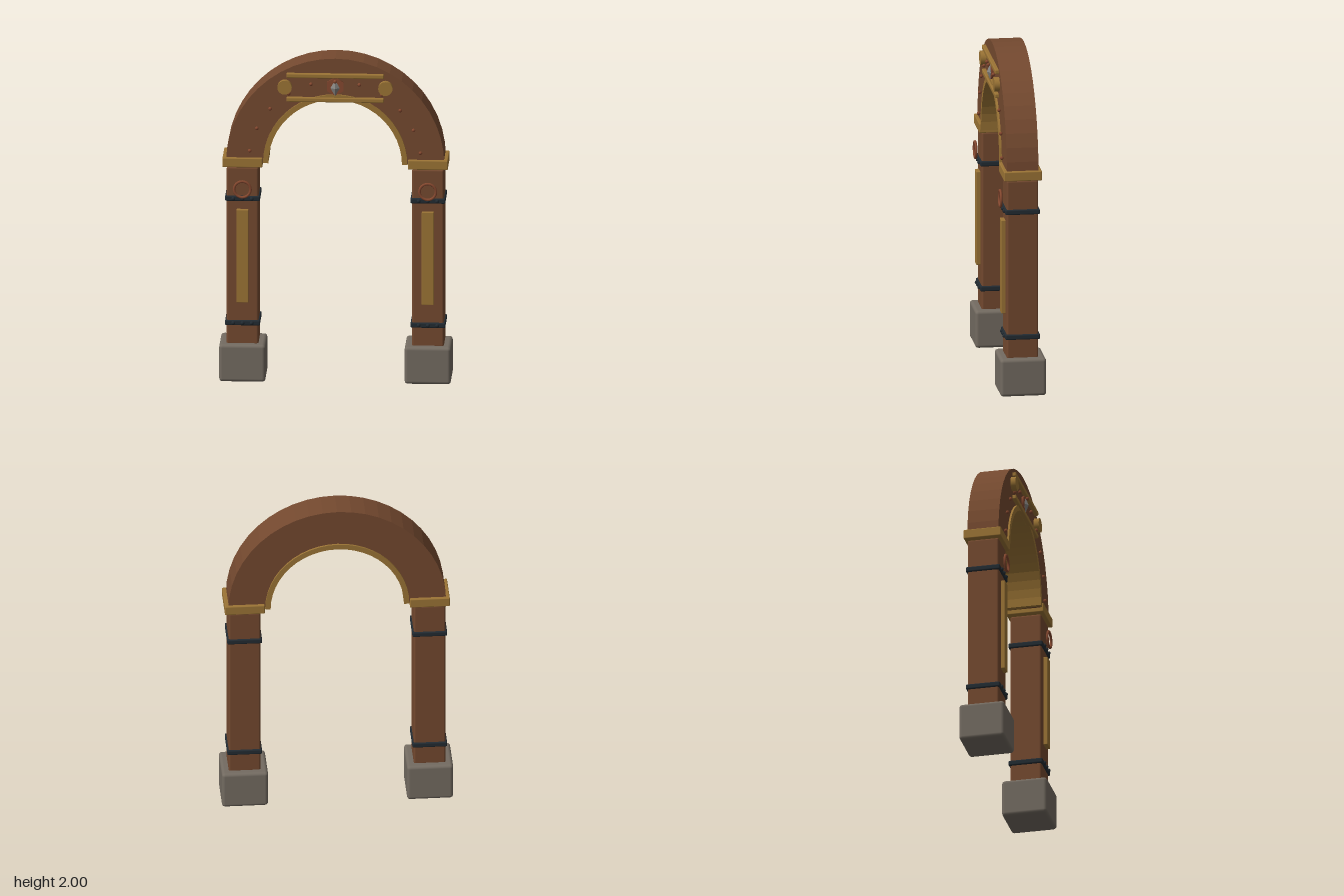
import * as THREE from 'three';
import { RoundedBoxGeometry } from 'three/addons/geometries/RoundedBoxGeometry.js';

const mat = (name, color) => {
  const m = new THREE.MeshStandardMaterial({ color });
  m.name = name;
  return m;
};

export function createModel() {
  const wood = mat('wood', 0x74492f);
  const brass = mat('brass', 0x9b7435);
  const stone = mat('stone', 0x736b61);
  const iron = mat('iron', 0x222b32);
  const copper = mat('copper', 0x85482f);
  const steel = mat('steel', 0x858380);

  const root = new THREE.Group();
  root.name = 'archway';

  const add = (parent, name, geometry, material, x, y, z) => {
    const mesh = new THREE.Mesh(geometry, material);
    mesh.name = name;
    mesh.position.set(x, y, z);
    parent.add(mesh);
    return mesh;
  };
  const box = (w, h, d, r) => new RoundedBoxGeometry(w, h, d, 2, r);
  // Cylinder whose axis points to the front
  const disc = (r, depth, sides) => new THREE.CylinderGeometry(r, r, depth, sides).rotateX(Math.PI / 2);

  // Half ring in the front plane, extruded in z
  const halfRing = (outer, inner, depth, steps) => {
    const points = [];
    for (let i = 0; i <= steps; i++) {
      const a = (Math.PI * i) / steps;
      points.push(new THREE.Vector2(outer * Math.cos(a), outer * Math.sin(a)));
    }
    for (let i = steps; i >= 0; i--) {
      const a = (Math.PI * i) / steps;
      points.push(new THREE.Vector2(inner * Math.cos(a), inner * Math.sin(a)));
    }
    return new THREE.ExtrudeGeometry(new THREE.Shape(points), { depth, bevelEnabled: false })
      .translate(0, 0, -depth / 2);
  };

  // Posts with footing, bands, inlay, ring and capital
  for (const side of [-1, 1]) {
    const post = new THREE.Group();
    post.name = side > 0 ? 'leftPost' : 'rightPost';
    post.position.x = side * 0.552;
    root.add(post);
    add(post, 'footing', box(0.276, 0.23, 0.276, 0.02), stone, 0, 0.115, 0);
    add(post, 'shaft', box(0.19, 1.1, 0.19, 0.012), wood, 0, 0.77, 0);
    add(post, 'capital', box(0.238, 0.058, 0.228, 0.006), brass, 0, 1.352, 0);
    add(post, 'inlay', box(0.072, 0.575, 0.028, 0.004), brass, 0, 0.775, 0.106);
    for (const y of [0.357, 1.127]) {
      add(post, 'band', box(0.208, 0.032, 0.208, 0.008), iron, 0, y, 0);
      for (const x of [-0.055, 0, 0.055])
        add(post, 'bandRivet', new THREE.SphereGeometry(0.012, 8, 6), iron, x, y, 0.105);
    }
    add(post, 'ring', new THREE.TorusGeometry(0.049, 0.008, 8, 24), copper, 0, 1.19, 0.122);
  }

  // Arch and its lining
  const arch = new THREE.Group();
  arch.name = 'arch';
  arch.position.y = 1.35;
  root.add(arch);
  add(arch, 'archBody', halfRing(0.65, 0.42, 0.19, 24), wood, 0, 0, 0);
  add(arch, 'archLining', halfRing(0.43, 0.398, 0.214, 24), brass, 0, 0, 0);

  // Studs spaced around the arch front
  for (let i = 0; i < 11; i++) {
    const a = THREE.MathUtils.degToRad(8.5 + i * 16.3);
    add(arch, 'stud', new THREE.SphereGeometry(0.011, 8, 6), copper,
      0.514 * Math.cos(a), 0.514 * Math.sin(a), i === 5 ? 0.118 : 0.107);
  }

  // Crest: two rails, end bosses and a set gem
  const crest = new THREE.Group();
  crest.name = 'crest';
  crest.position.set(0, 1.825, 0.095);
  root.add(crest);
  for (const y of [0.071, -0.077])
    add(crest, 'rail', box(0.58, 0.027, 0.03, 0.006), brass, 0, y, 0.008);
  for (const x of [-0.3, 0.3])
    add(crest, 'boss', disc(0.043, 0.036, 20), brass, x, 0, 0.014);
  add(crest, 'gemSetting', disc(0.056, 0.014, 6), copper, 0, 0.004, 0.004);
  const gem = new THREE.OctahedronGeometry(1).scale(0.028, 0.05, 0.02);
  add(crest, 'gem', gem, steel, 0, -0.004, 0.012);

  return root;
}
